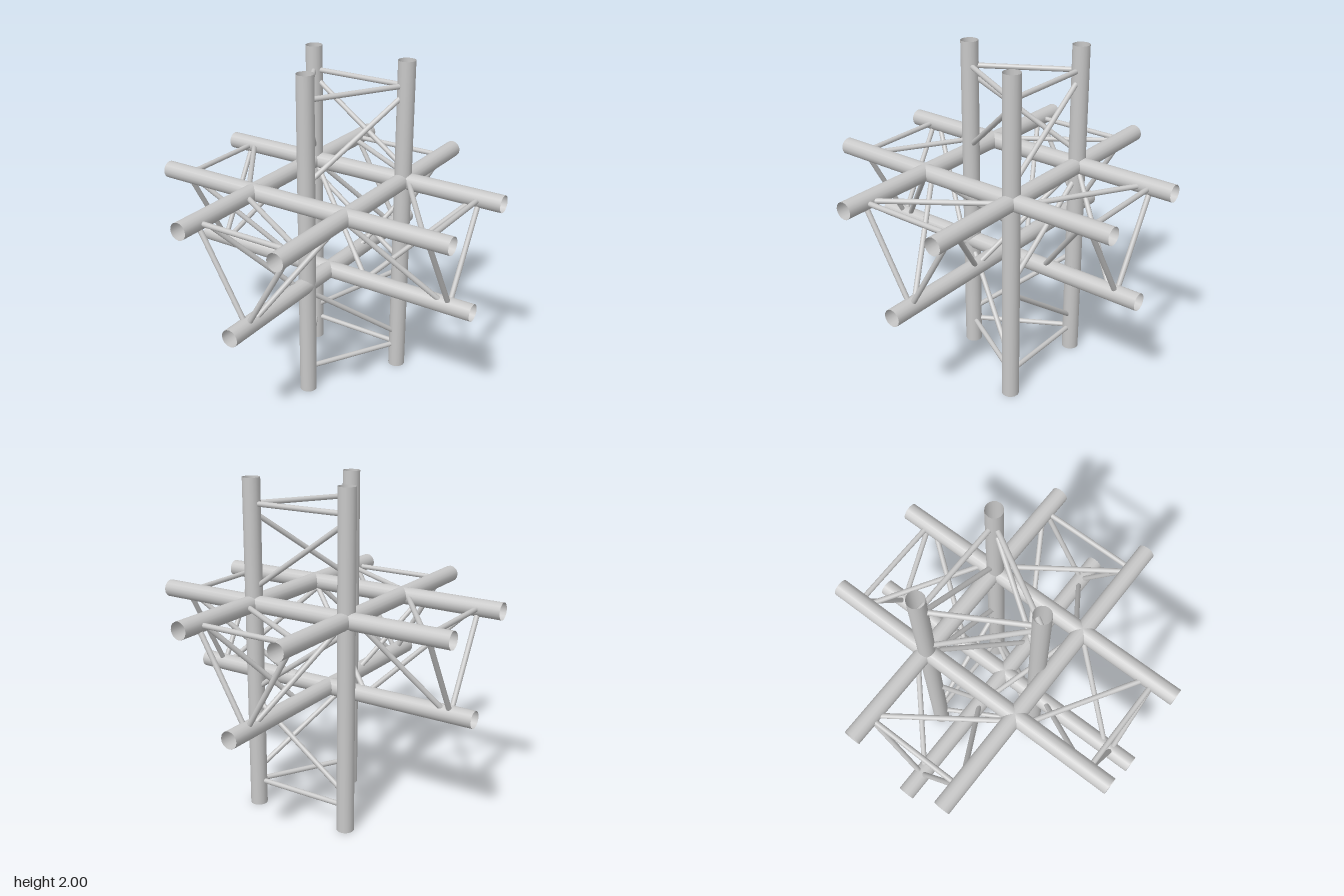
import * as THREE from 'three';

const HALF = 0.957;              // half length of horizontal chords
const W = 0.315;                 // half spacing of paired chords
const TOP = 1.275, LOW = 0.73;   // chord heights of the horizontal trusses
const FRONT = 0.235, BACK = -0.31; // chord depths of the upright truss

export function createModel() {
  const model = new THREE.Group();
  const metal = new THREE.MeshStandardMaterial({ color: 0xc8c8c8, side: THREE.DoubleSide });
  metal.name = 'aluminium grey';

  // Open tube between two points
  function tube(name, a, b, radius, sides, parent) {
    const start = new THREE.Vector3(...a), end = new THREE.Vector3(...b);
    const dir = end.clone().sub(start);
    const geo = new THREE.CylinderGeometry(radius, radius, dir.length(), sides, 1, true);
    const mesh = new THREE.Mesh(geo, metal);
    mesh.name = name;
    mesh.position.copy(start).add(end).multiplyScalar(0.5);
    mesh.quaternion.setFromUnitVectors(new THREE.Vector3(0, 1, 0), dir.normalize());
    parent.add(mesh);
  }
  const chord = (a, b, g) => tube('chord', a, b, 0.0515, 16, g);
  const brace = (a, b, g) => tube('brace', a, b, 0.0155, 14, g);

  // Horizontal trusses: u runs along the truss, v across it
  function horizontalTruss(name, place, { far, lowNear, highNear, topNear, topFar }) {
    const g = new THREE.Group();
    g.name = name;
    for (const [v, y] of [[-W, TOP], [W, TOP], [0, LOW]]) {
      chord(place(-HALF, y, v), place(HALF, y, v), g);
    }
    [-1, 1].forEach((s, i) => {
      const p = (u, y, v) => place(s * u, y, s * v);
      // Triangular end frame
      brace(p(0.81, TOP, -W), p(0.81, TOP, W), g);
      brace(p(0.81, TOP, -W), p(0.81, LOW, 0), g);
      brace(p(0.81, TOP, W), p(0.81, LOW, 0), g);
      // One diagonal on each face
      brace(p(highNear[i], TOP, W), p(far, LOW, 0), g);
      brace(p(lowNear, LOW, 0), p(far, TOP, -W), g);
      brace(p(topNear, TOP, -W), p(topFar, TOP, W), g);
    });
    model.add(g);
    return g;
  }
  const across = horizontalTruss('sidewaysTruss', (u, y, v) => [u, y, v],
    { far: 0.785, lowNear: 0.25, highNear: [0.39, 0.25], topNear: 0.35, topFar: 0.795 });
  horizontalTruss('lengthwiseTruss', (u, y, v) => [v, y, u],
    { far: 0.77, lowNear: 0.31, highNear: [0.31, 0.31], topNear: 0.385, topFar: 0.77 });

  // Diagonals through the centre of the sideways truss
  for (const s of [-1, 1]) brace([s * W, TOP, s * W], [-s * 0.26, LOW, 0], across);

  // Upright truss
  const upright = new THREE.Group();
  upright.name = 'uprightTruss';
  model.add(upright);
  for (const [x, z] of [[0, FRONT], [-W, BACK], [W, BACK]]) {
    chord([x, 0, z], [x, 2, z], upright);
  }
  for (const [rung, far, near] of [[1.853, 1.81, 1.36], [0.152, 0.225, 0.685]]) {
    // Triangular end frame
    brace([-W, rung, BACK], [W, rung, BACK], upright);
    brace([-W, rung, BACK], [0, rung, FRONT], upright);
    brace([W, rung, BACK], [0, rung, FRONT], upright);
    // One diagonal on each face
    brace([0, near, FRONT], [W, far, BACK], upright);
    brace([-W, near, BACK], [0, far, FRONT], upright);
    brace([-W, far, BACK], [W, near, BACK], upright);
  }
  // Diagonal across the middle of the back face
  brace([-W, 1.2, BACK], [W, 0.75, BACK], upright);

  return model;
}
